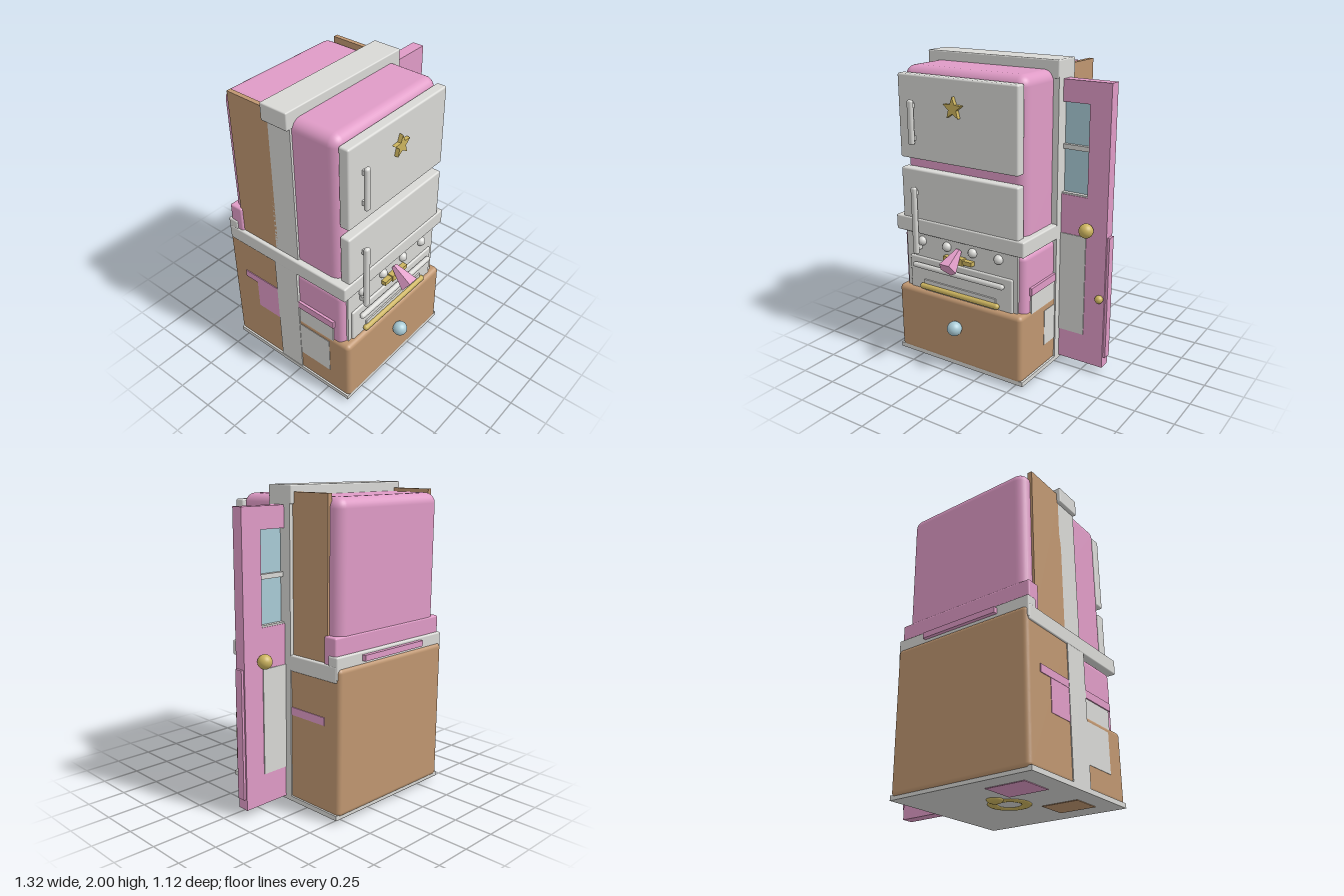
import * as THREE from 'three';
import { RoundedBoxGeometry } from 'three/addons/geometries/RoundedBoxGeometry.js';

const material = (name, color) => {
  const m = new THREE.MeshStandardMaterial({ color });
  m.name = name;
  return m;
};

export function createModel() {
  const group = new THREE.Group();
  const pink = material('pink', 0xdf9bc6);
  const grey = material('light grey', 0xd8d8d5);
  const tan = material('tan', 0xbf9670);
  const gold = material('gold', 0xcbb35e);
  const blue = material('pale blue', 0xa9cbd6);
  const CX = -0.17;

  const add = (name, geometry, mat, x = 0, y = 0, z = 0) => {
    const mesh = new THREE.Mesh(geometry, mat);
    mesh.name = name;
    mesh.position.set(x, y, z);
    group.add(mesh);
    return mesh;
  };
  // Box from its limits on each axis, rounded when r > 0
  const box = (name, mat, [x0, x1], [y0, y1], [z0, z1], r = 0) => {
    const s = [x1 - x0, y1 - y0, z1 - z0];
    const g = r ? new RoundedBoxGeometry(...s, 4, r) : new THREE.BoxGeometry(...s);
    return add(name, g, mat, (x0 + x1) / 2, (y0 + y1) / 2, (z0 + z1) / 2);
  };
  const ball = (name, mat, r, x, y, z) => add(name, new THREE.SphereGeometry(r, 24, 16), mat, x, y, z);
  const rod = (name, mat, r, length, x, y, z, vertical) => {
    const m = add(name, new THREE.CapsuleGeometry(r, length - 2 * r, 6, 14), mat, x, y, z);
    if (!vertical) m.rotation.z = Math.PI / 2;
    return m;
  };

  // Fridge body with tan side panels
  box('fridgeBody', pink, [-0.62, 0.28], [0.9, 1.94], [-0.51, 0.345], 0.065);
  box('sidePanelRight', tan, [-0.635, -0.605], [0.97, 1.96], [-0.435, -0.13]);
  box('sidePanelLeft', tan, [0.265, 0.295], [0.97, 1.96], [-0.435, -0.13]);

  // Fridge doors and handles
  box('upperFridgeDoor', grey, [-0.605, 0.275], [1.375, 1.9], [0.342, 0.41], 0.012);
  box('lowerFridgeDoor', grey, [-0.605, 0.275], [0.95, 1.31], [0.342, 0.41], 0.012);
  for (const [name, y0, y1] of [['upperHandle', 1.47, 1.75], ['lowerHandle', 0.75, 1.2]]) {
    box(name, grey, [-0.505, -0.465], [y0, y1], [0.425, 0.456], 0.014);
    for (const y of [y0 + 0.04, y1 - 0.04])
      box(name + 'Mount', grey, [-0.495, -0.475], [y - 0.015, y + 0.015], [0.38, 0.44]);
  }

  // Five-pointed star on the upper door
  const star = new THREE.Shape();
  for (let i = 0; i < 10; i++) {
    const a = Math.PI / 2 + i * Math.PI / 5, r = i % 2 ? 0.03 : 0.07;
    star[i ? 'lineTo' : 'moveTo'](Math.cos(a) * r, Math.sin(a) * r);
  }
  star.closePath();
  add('star', new THREE.ExtrudeGeometry(star, { depth: 0.03, bevelEnabled: false }), gold, CX, 1.725, 0.405);

  // Door frame around the middle
  box('frameTop', grey, [-0.66, 0.32], [1.89, 2], [-0.155, 0.038], 0.008);
  box('framePostLeft', grey, [0.26, 0.32], [0.03, 1.9], [-0.145, 0.035]);
  box('framePostRightUpper', grey, [-0.635, -0.58], [0.95, 1.9], [-0.145, 0.035]);
  box('framePostRightLower', grey, [-0.658, -0.6], [0.03, 0.95], [-0.145, 0.035]);

  // Counter, back rail and ledge
  box('counter', grey, [-0.66, 0.32], [0.885, 0.985], [-0.53, 0.42], 0.01);
  box('backRail', grey, [-0.658, 0.318], [0.9, 1.04], [-0.535, -0.46], 0.01);
  box('backLedge', pink, [-0.65, 0.31], [0.97, 1.15], [-0.515, -0.42], 0.012);
  box('backStrip', pink, [-0.44, 0.1], [0.985, 1.022], [-0.56, -0.52]);

  // Stove body and front
  box('stoveBody', pink, [-0.64, 0.3], [0.4, 0.88], [-0.1, 0.378], 0.04);
  box('stoveFront', grey, [-0.6, 0.26], [0.45, 0.884], [0.34, 0.392]);
  box('ovenDoor', grey, [-0.57, 0.23], [0.45, 0.72], [0.36, 0.405], 0.01);
  box('ovenSill', grey, [-0.45, 0.11], [0.48, 0.57], [0.37, 0.415]);
  rod('ovenHandle', grey, 0.018, 0.71, CX, 0.67, 0.428);
  rod('towelRail', gold, 0.019, 0.62, CX, 0.525, 0.418);
  for (const x of [-0.47, -0.27, -0.07, 0.125]) ball('stoveKnob', grey, 0.031, x, 0.83, 0.393);

  // Gold clasp and faceted pink gem
  box('clasp', gold, [-0.28, -0.06], [0.747, 0.775], [0.385, 0.425]);
  box('claspCentre', gold, [-0.215, -0.125], [0.74, 0.785], [0.385, 0.432]);
  const gemGeometry = new THREE.CylinderGeometry(0.062, 0.02, 0.15, 5).toNonIndexed();
  gemGeometry.computeVertexNormals();
  const gem = add('gem', gemGeometry, pink, CX, 0.785, 0.465);
  gem.quaternion.setFromUnitVectors(new THREE.Vector3(0, 1, 0), new THREE.Vector3(0, -0.58, 0.81).normalize());

  // Lower drawer, rear cabinet and base
  box('drawer', tan, [-0.652, 0.31], [0.045, 0.5], [-0.14, 0.435], 0.03);
  ball('drawerKnob', blue, 0.048, CX, 0.315, 0.47);
  box('rearCabinet', tan, [-0.652, 0.312], [0.045, 0.97], [-0.55, -0.1], 0.03);
  box('basePlate', grey, [-0.66, 0.32], [0.03, 0.06], [-0.54, 0.43]);

  // Side rails and patches
  for (const s of [-1, 1]) {
    const at = (a, b) => [CX + s * a, CX + s * b].sort((p, q) => p - q);
    box('sideRail', pink, at(0.45, 0.487), [0.605, 0.655], [-0.43, 0.32]);
    box('sidePatch', grey, at(0.46, 0.479), [0.46, 0.605], [0.03, 0.31]);
  }
  box('drawerPatch', grey, [0.308, 0.313], [0.2, 0.44], [0.03, 0.16]);
  box('drawerPatch', grey, [-0.655, -0.65], [0.2, 0.46], [0.03, 0.28]);
  box('cabinetPatch', pink, [-0.655, -0.65], [0.4, 0.605], [-0.33, -0.14]);

  // Open door: pink stiles and rails around a window, with an inset panel
  const dz = [-0.095, -0.018];
  box('doorStile', pink, [0.5, 0.64], [0.05, 1.885], dz);
  box('doorTopRail', pink, [0.3, 0.5], [1.75, 1.885], dz);
  box('doorLower', pink, [0.3, 0.5], [0.05, 1.175], dz);
  box('windowGlass', blue, [0.3, 0.5], [1.175, 1.75], [-0.062, -0.052]);
  box('windowBar', grey, [0.3, 0.5], [1.46, 1.49], [-0.085, -0.028]);
  box('windowSill', grey, [0.3, 0.5], [1.17, 1.185], [-0.09, -0.023]);
  box('doorPanelFront', grey, [0.3, 0.5], [0.25, 0.92], [-0.02, -0.012]);
  box('doorPanelBack', grey, [0.3, 0.5], [0.25, 0.92], [-0.101, -0.093]);
  box('doorEdge', pink, [0.63, 0.656], [0.12, 0.94], [-0.085, -0.03]);
  for (const z of [0.025, -0.14]) ball('doorKnob', gold, 0.046, 0.52, 0.98, z);
  const spindle = add('knobSpindle', new THREE.CylinderGeometry(0.018, 0.018, 0.16, 16), gold, 0.52, 0.98, -0.057);
  spindle.rotation.x = Math.PI / 2;
  ball('smallKnob', gold, 0.027, 0.608, 0.53, -0.008);

  // Ornament and patches under the base
  const ring = add('underRing', new THREE.TorusGeometry(0.1, 0.03, 10, 28), gold, CX, 0.03, -0.06);
  ring.rotation.x = Math.PI / 2;
  ring.scale.z = 0.3;
  ball('underBoss', gold, 0.05, CX, 0.03, -0.2).scale.y = 0.5;
  box('underPatchPink', pink, [-0.53, -0.27], [0.026, 0.032], [-0.42, -0.2]);
  box('underPatchTan', tan, [-0.54, -0.3], [0.026, 0.032], [0.08, 0.28]);

  return group;
}
